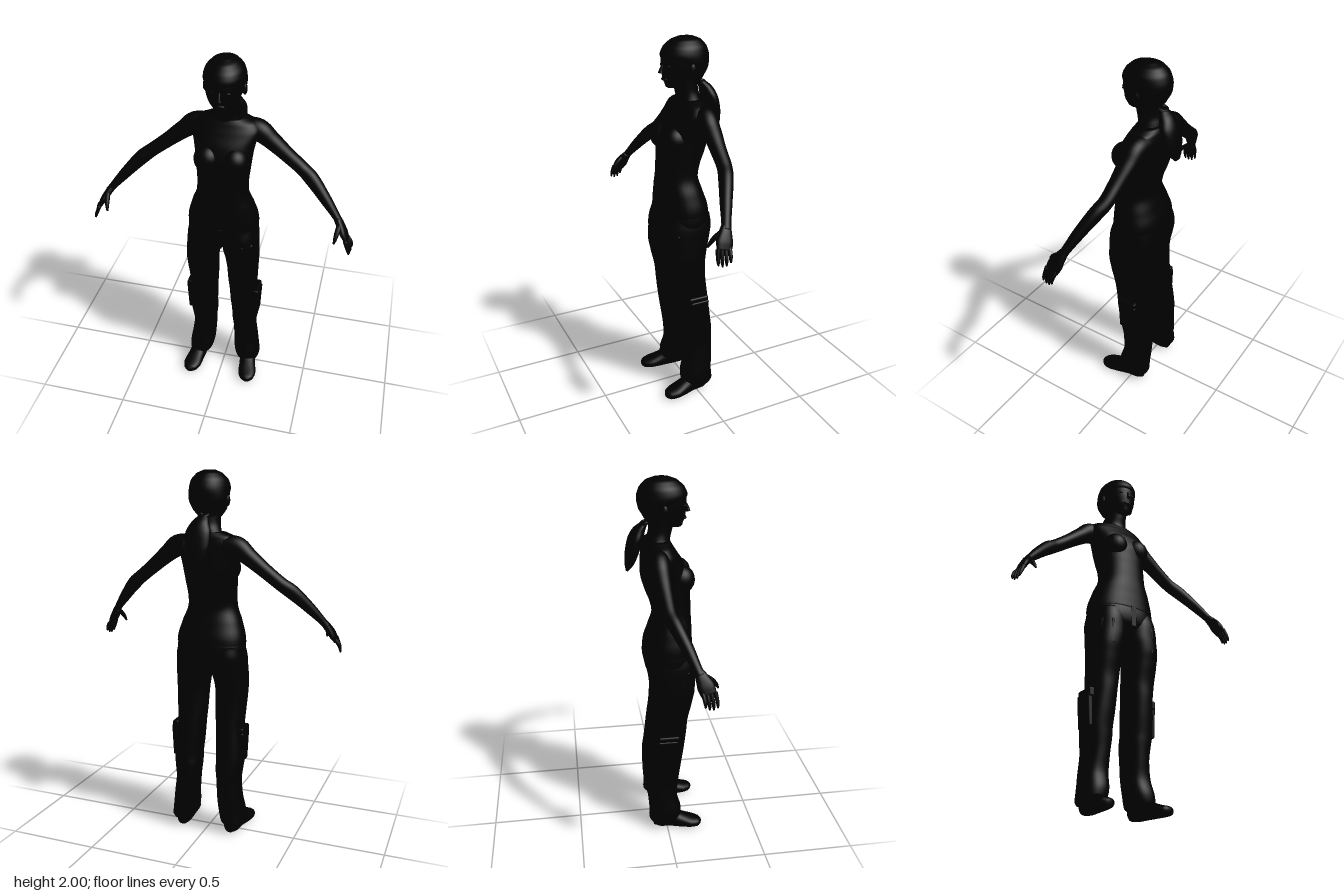
import * as THREE from 'three';
import { RoundedBoxGeometry } from 'three/addons/geometries/RoundedBoxGeometry.js';

const black = new THREE.MeshStandardMaterial({ color: 0x000000 });
black.name = 'black';

// Smooth closed skin through sections [x, y, z, ru, rv]; ref sets the rv direction,
// level keeps every ring horizontal, power squares the ring off.
function loft(sections, { ref = [0, 0, 1], level = false, power = 2, sides = 28, steps = 5 } = {}) {
  const centre = new THREE.CatmullRomCurve3(sections.map(s => new THREE.Vector3(s[0], s[1], s[2])));
  const radii = new THREE.CatmullRomCurve3(sections.map(s => new THREE.Vector3(s[3], s[4], 0)), false, 'catmullrom', 0.4);
  const rings = (sections.length - 1) * steps;
  const pos = [], index = [];
  const up = new THREE.Vector3(...ref);
  const bend = v => Math.sign(v) * Math.pow(Math.abs(v), 2 / power);
  for (let k = -1; k <= rings + 1; k++) {
    const t = Math.min(Math.max(k / rings, 0), 1);
    const c = centre.getPoint(t), r = radii.getPoint(t);
    const T = level ? new THREE.Vector3(0, 1, 0) : centre.getTangent(t);
    const V = up.clone().addScaledVector(T, -up.dot(T)).normalize();
    const U = T.clone().cross(V);
    const size = k < 0 || k > rings ? 0.001 : 1; // closed ends
    for (let j = 0; j < sides; j++) {
      const a = j / sides * Math.PI * 2;
      const p = c.clone().addScaledVector(U, bend(Math.cos(a)) * r.x * size)
        .addScaledVector(V, bend(Math.sin(a)) * r.y * size);
      pos.push(p.x, Math.max(p.y, 0), p.z);
    }
  }
  for (let i = 0; i < rings + 2; i++) for (let j = 0; j < sides; j++) {
    const a = i * sides + j, b = i * sides + (j + 1) % sides;
    index.push(a, a + sides, b, b, a + sides, b + sides);
  }
  const g = new THREE.BufferGeometry();
  g.setAttribute('position', new THREE.Float32BufferAttribute(pos, 3));
  g.setIndex(index);
  g.computeVertexNormals();
  return g;
}

// Upright loft from rows [y, xCentre, xRadius, zFront, zBack], bottom to top
const upright = (rows, s = 1, power = 2) => loft(
  rows.map(([y, x, rx, f, b]) => [x * s, y, (f + b) / 2, rx, (f - b) / 2]),
  { level: true, power, sides: 36 });

export function createModel() {
  const model = new THREE.Group();
  const add = (name, geometry, x = 0, y = 0, z = 0, parent = model) => {
    const mesh = new THREE.Mesh(geometry, black);
    mesh.name = name;
    mesh.position.set(x, y, z);
    parent.add(mesh);
    return mesh;
  };
  const ball = (name, x, y, z, rx, ry, rz) =>
    add(name, new THREE.SphereGeometry(1, 24, 16).scale(rx, ry, rz), x, y, z);

  // Fitted top, with its hem hanging over the trousers
  add('top', upright([
    [1.09, 0, 0.192, 0.155, -0.112], [1.13, 0, 0.187, 0.153, -0.106], [1.2, 0, 0.167, 0.15, -0.083],
    [1.28, 0, 0.137, 0.146, -0.06], [1.35, 0, 0.134, 0.143, -0.072], [1.42, 0, 0.14, 0.14, -0.098],
    [1.49, 0, 0.147, 0.135, -0.118], [1.56, 0, 0.16, 0.108, -0.119], [1.62, 0, 0.178, 0.07, -0.115],
    [1.66, 0, 0.155, 0.045, -0.107], [1.685, 0, 0.095, 0.03, -0.097]], 1, 2.3));
  add('neck', upright([
    [1.64, 0, 0.1, 0.04, -0.1], [1.69, 0, 0.07, 0.036, -0.09],
    [1.73, 0, 0.06, 0.045, -0.077], [1.8, 0, 0.06, 0.06, -0.075]]));

  // Head, face and hair
  add('head', upright([
    [1.748, 0, 0.025, 0.09, 0.03], [1.762, 0, 0.045, 0.1, -0.01], [1.8, 0, 0.077, 0.112, -0.07],
    [1.85, 0, 0.095, 0.117, -0.11], [1.9, 0, 0.1, 0.115, -0.125], [1.95, 0, 0.084, 0.09, -0.11],
    [1.985, 0, 0.04, 0.04, -0.06]]));
  add('hair', upright([
    [1.765, 0, 0.045, -0.03, -0.075], [1.8, 0, 0.078, 0.005, -0.1], [1.85, 0, 0.1, 0.05, -0.127],
    [1.9, 0, 0.106, 0.12, -0.135], [1.945, 0, 0.096, 0.109, -0.122],
    [1.98, 0, 0.066, 0.072, -0.092], [1.997, 0, 0.03, 0.03, -0.05]]));
  add('nose', loft([[0, 1.868, 0.112, 0.007, 0.006], [0, 1.84, 0.124, 0.01, 0.009], [0, 1.824, 0.128, 0.015, 0.011]]));
  ball('lips', 0, 1.793, 0.107, 0.026, 0.009, 0.012);
  ball('chin', 0, 1.763, 0.082, 0.026, 0.016, 0.018);
  const tie = add('hairTie', new THREE.TorusGeometry(0.022, 0.01, 10, 20), 0, 1.772, -0.092);
  tie.rotation.x = 1.2;
  add('ponytail', upright([
    [1.525, 0.008, 0.025, -0.178, -0.194], [1.56, 0.01, 0.05, -0.148, -0.198], [1.62, 0.012, 0.068, -0.122, -0.195],
    [1.69, 0.012, 0.068, -0.1, -0.18], [1.74, 0.008, 0.046, -0.087, -0.153], [1.775, 0, 0.022, -0.075, -0.112]]));

  // Trouser seat
  add('trouserSeat', upright([
    [0.945, 0, 0.09, 0.09, -0.04], [0.97, 0, 0.15, 0.13, -0.075], [1.01, 0, 0.186, 0.152, -0.1],
    [1.06, 0, 0.19, 0.156, -0.112], [1.13, 0, 0.18, 0.148, -0.1]], 1, 2.4));
  add('fly', new RoundedBoxGeometry(0.03, 0.12, 0.008, 2, 0.003), 0.005, 1.04, 0.153);

  for (const s of [1, -1]) {
    const side = s > 0 ? 'left' : 'right';
    ball(side + 'Bust', s * 0.07, 1.487, 0.083, 0.07, 0.075, 0.072);
    ball(side + 'Ear', s * 0.098, 1.845, -0.005, 0.012, 0.03, 0.018);
    ball(side + 'Eye', s * 0.038, 1.86, 0.101, 0.015, 0.008, 0.01);

    // Baggy trouser leg with creases at the knee and ankle
    add(side + 'TrouserLeg', upright([
      [0.045, 0.155, 0.052, 0.055, -0.09], [0.065, 0.148, 0.068, 0.078, -0.102], [0.12, 0.139, 0.073, 0.082, -0.1],
      [0.2, 0.13, 0.07, 0.062, -0.106], [0.3, 0.122, 0.066, 0.07, -0.109], [0.38, 0.122, 0.074, 0.08, -0.108],
      [0.43, 0.125, 0.077, 0.086, -0.1], [0.52, 0.12, 0.078, 0.1, -0.09], [0.62, 0.114, 0.076, 0.113, -0.08],
      [0.7, 0.113, 0.082, 0.12, -0.069], [0.8, 0.114, 0.086, 0.142, -0.064], [0.87, 0.111, 0.091, 0.156, -0.072],
      [0.94, 0.1, 0.098, 0.158, -0.09], [1.02, 0.097, 0.095, 0.155, -0.105], [1.08, 0.09, 0.09, 0.14, -0.1]], s, 2.3));

    // Cargo pockets on the lower thigh and the hip
    const pocket = add(side + 'CargoPocket', new RoundedBoxGeometry(0.03, 0.18, 0.11, 3, 0.01), s * 0.195, 0.51, 0);
    pocket.rotation.z = s * -0.05;
    add(side + 'PocketFlap', new RoundedBoxGeometry(0.034, 0.05, 0.115, 3, 0.01), s * 0.193, 0.6, 0.005);
    const hip = add(side + 'HipPocket', new RoundedBoxGeometry(0.075, 0.15, 0.02, 3, 0.008), s * 0.148, 0.925, 0.128);
    hip.rotation.y = s * 0.65;

    // Shoe, toe turned slightly out
    add(side + 'Shoe', loft([
      [s * 0.142, 0.045, -0.078, 0.03, 0.042], [s * 0.147, 0.05, -0.04, 0.044, 0.055], [s * 0.152, 0.05, 0.02, 0.046, 0.056],
      [s * 0.162, 0.036, 0.08, 0.049, 0.042], [s * 0.172, 0.027, 0.14, 0.052, 0.03],
      [s * 0.178, 0.022, 0.18, 0.038, 0.024], [s * 0.18, 0.02, 0.197, 0.016, 0.014]], { ref: [0, 1, 0], power: 2.3 }));

    // Bare arm held out, forearm bent forward
    const path = rows => rows.map(([x, ...rest]) => [s * x, ...rest]);
    add(side + 'Arm', loft(path([
      [0.1, 1.615, -0.05, 0.055, 0.056], [0.165, 1.608, -0.045, 0.058, 0.056], [0.23, 1.562, -0.042, 0.046, 0.05],
      [0.32, 1.49, -0.034, 0.038, 0.041], [0.4, 1.428, -0.025, 0.036, 0.038], [0.45, 1.39, -0.005, 0.038, 0.037],
      [0.53, 1.31, 0.037, 0.03, 0.031], [0.6, 1.232, 0.073, 0.02, 0.024], [0.62, 1.207, 0.084, 0.02, 0.026]])));

    // Hand
    add(side + 'Palm', loft(path([
      [0.605, 1.225, 0.077, 0.018, 0.023], [0.627, 1.195, 0.092, 0.019, 0.033],
      [0.647, 1.162, 0.106, 0.018, 0.042], [0.665, 1.13, 0.117, 0.012, 0.038]]), { power: 2.4 }));
    for (let f = 0; f < 4; f++) {
      const z = 0.088 + f * 0.02, reach = [0.8, 0.97, 1, 0.9][f];
      const tip = y => 1.14 - y * reach;
      add(side + 'Finger' + (f + 1), loft(path([
        [0.66, 1.14, z, 0.011, 0.0105], [0.678 + 0.004 * (1.5 - f), tip(0.035), z + 0.006, 0.01, 0.0095],
        [0.687 + 0.004 * (1.5 - f), tip(0.06), z + 0.009, 0.008, 0.008],
        [0.69 + 0.003 * (1.5 - f), tip(0.08), z + 0.009, 0.004, 0.004]]), { sides: 12, steps: 4 }));
    }
    add(side + 'Thumb', loft(path([
      [0.622, 1.205, 0.105, 0.014, 0.014], [0.615, 1.18, 0.138, 0.013, 0.013],
      [0.61, 1.155, 0.16, 0.01, 0.01], [0.606, 1.132, 0.173, 0.005, 0.005]]), { ref: [1, 0, 0], sides: 12, steps: 4 }));
  }
  return model;
}
